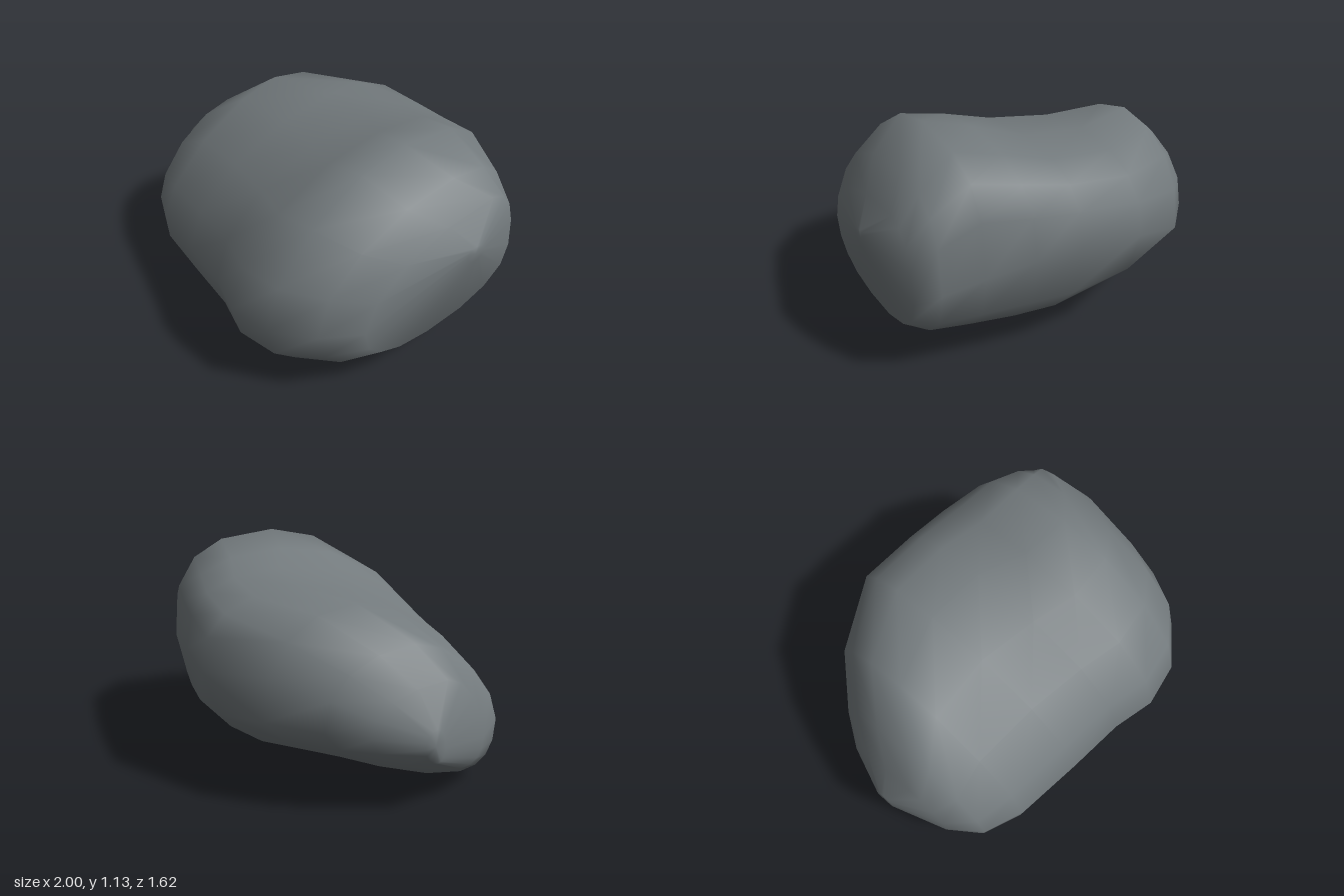
import * as THREE from 'three';

const SEGMENTS = 16;

// Cross-sections from the right end to the left end. Each has x, four extremes
// as [z, y] (top, back, bottom, front) and the fullness of its four quarters:
// upper front, upper back, lower back, lower front.
const SECTIONS = [
  { x: -1.0, top: [0.03, 0.45], back: [-0.03, 0.36], bottom: [0.04, 0.28], front: [0.08, 0.35], full: [2, 2, 2, 2] },
  { x: -0.9, top: [0.15, 0.64], back: [-0.27, 0.42], bottom: [0.25, 0.16], front: [0.38, 0.3], full: [1.7, 2.1, 1.6, 2.3] },
  { x: -0.78, top: [0.04, 0.8], back: [-0.44, 0.44], bottom: [0.34, 0.07], front: [0.55, 0.32], full: [1.6, 2.2, 1.45, 2.5] },
  { x: -0.57, top: [-0.16, 0.97], back: [-0.65, 0.46], bottom: [0.42, 0.045], front: [0.64, 0.34], full: [1.5, 2.2, 1.5, 2.7] },
  { x: -0.2, top: [-0.28, 0.985], back: [-0.81, 0.62], bottom: [0.28, 0.015], front: [0.7, 0.38], full: [1.75, 2.5, 2.1, 2.4] },
  { x: 0.12, top: [-0.25, 1.01], back: [-0.775, 0.64], bottom: [0.15, 0], front: [0.74, 0.4], full: [1.95, 2.6, 2.5, 2.4] },
  { x: 0.35, top: [-0.12, 1.065], back: [-0.74, 0.62], bottom: [0.12, 0.01], front: [0.805, 0.41], full: [1.8, 2.7, 2.4, 2.5] },
  { x: 0.59, top: [-0.07, 1.13], back: [-0.68, 0.57], bottom: [0.1, 0.05], front: [0.77, 0.42], full: [1.7, 2.9, 2.4, 2.5] },
  { x: 0.79, top: [-0.22, 0.98], back: [-0.62, 0.51], bottom: [0.05, 0.1], front: [0.62, 0.44], full: [1.95, 2.9, 2.4, 2.4] },
  { x: 0.91, top: [-0.38, 0.86], back: [-0.565, 0.47], bottom: [0, 0.19], front: [0.43, 0.44], full: [1.95, 2.3, 2.2, 2.4] },
  { x: 1.0, top: [-0.19, 0.71], back: [-0.24, 0.67], bottom: [-0.19, 0.62], front: [-0.13, 0.67], full: [2, 2, 2, 2] },
];

// Point on a section: each quarter is a superellipse between two extremes.
function sectionPoint(s, j) {
  const quarter = Math.floor((j * 4) / SEGMENTS);
  const angle = (j / SEGMENTS) * Math.PI * 2;
  const side = quarter === 0 || quarter === 3 ? s.front : s.back;
  const pole = quarter < 2 ? s.top : s.bottom;
  const power = 2 / s.full[quarter];
  const u = Math.pow(Math.abs(Math.cos(angle)), power);
  const v = Math.pow(Math.abs(Math.sin(angle)), power);
  return [
    s.x,
    side[1] + (pole[1] - side[1]) * v,
    pole[0] + (side[0] - pole[0]) * u,
  ];
}

// Joins the section loops into one closed, smooth skin.
function boulderGeometry() {
  const positions = [];
  const indices = [];
  for (const s of SECTIONS) {
    for (let j = 0; j < SEGMENTS; j++) positions.push(...sectionPoint(s, j));
  }
  const last = SECTIONS.length - 1;
  const at = (i, j) => i * SEGMENTS + (j % SEGMENTS);
  for (let i = 0; i < last; i++) {
    for (let j = 0; j < SEGMENTS; j++) {
      const a = at(i, j), b = at(i + 1, j), c = at(i + 1, j + 1), d = at(i, j + 1);
      indices.push(a, b, c, a, c, d);
    }
  }
  // end caps
  const centre = (s) => [s.x, (s.top[1] + s.bottom[1]) / 2, (s.front[0] + s.back[0]) / 2];
  const startCap = positions.length / 3;
  positions.push(...centre(SECTIONS[0]), ...centre(SECTIONS[last]));
  for (let j = 0; j < SEGMENTS; j++) {
    indices.push(startCap, at(0, j), at(0, j + 1));
    indices.push(startCap + 1, at(last, j + 1), at(last, j));
  }
  const geometry = new THREE.BufferGeometry();
  geometry.setAttribute('position', new THREE.Float32BufferAttribute(positions, 3));
  geometry.setIndex(indices);
  geometry.computeVertexNormals();
  return geometry;
}

export function createModel() {
  const stone = new THREE.MeshStandardMaterial({ color: 0x747b7e });
  stone.name = 'grey stone';

  const boulder = new THREE.Mesh(boulderGeometry(), stone);
  boulder.name = 'boulder';

  const model = new THREE.Group();
  model.name = 'rock';
  model.add(boulder);
  return model;
}
